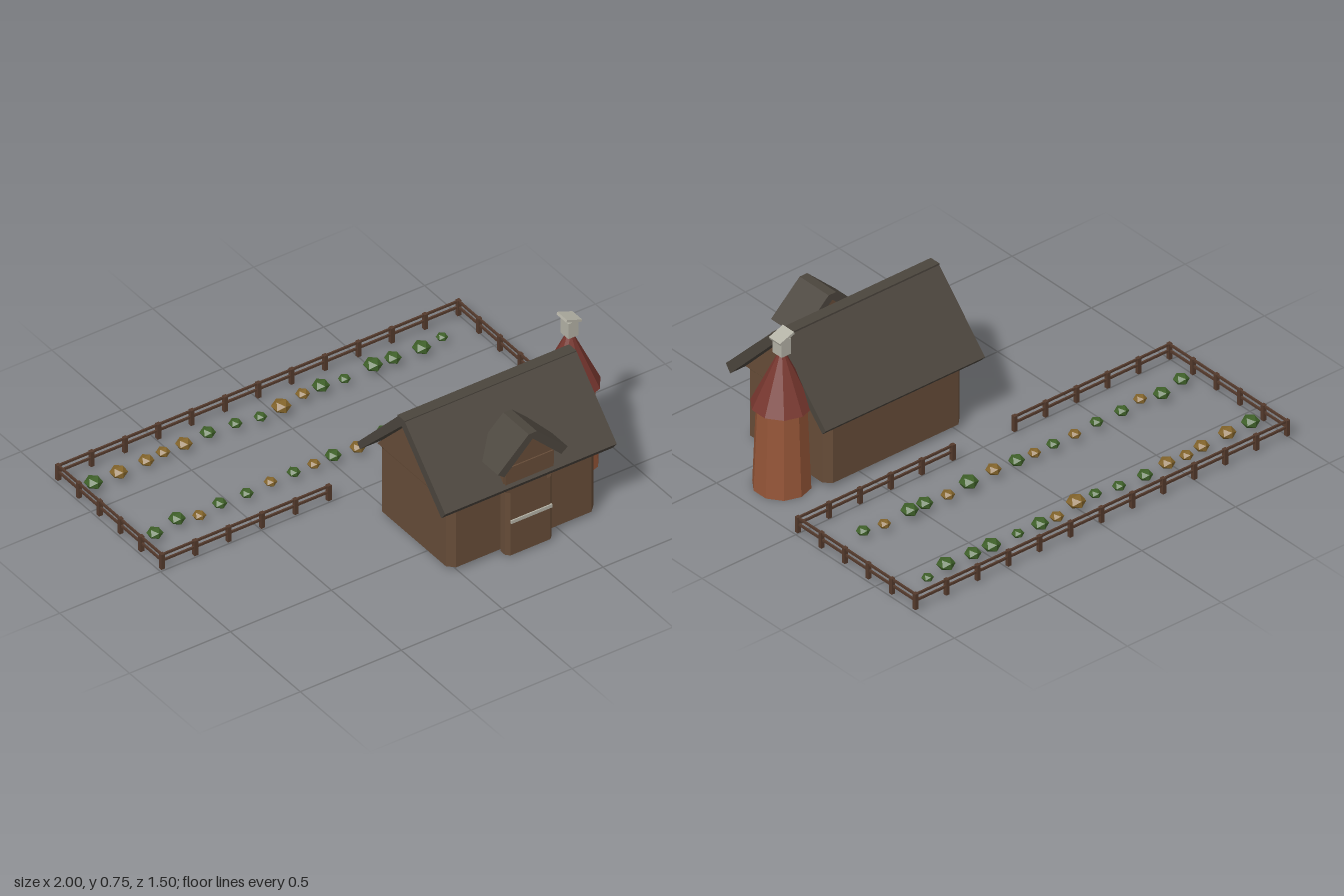
import * as THREE from 'three';

const mat = (name, color, side = THREE.FrontSide) => {
  const m = new THREE.MeshStandardMaterial({ color, side, flatShading: true });
  m.name = name;
  return m;
};

export function createModel() {
  const model = new THREE.Group();
  model.name = 'farmstead';

  const timber = mat('timber brown', 0x664c38, THREE.DoubleSide);
  const shingle = mat('dark shingle', 0x4b453d);
  const brick = mat('silo brick', 0x965638);
  const red = mat('cone red', 0x78372f);
  const stone = mat('pale stone', 0xb4b2a6);
  const fenceWood = mat('fence wood', 0x543a2c);
  const green = mat('leaf green', 0x3f6129);
  const ochre = mat('leaf ochre', 0x84652b);

  const add = (name, geo, material, parent = model) => {
    const m = new THREE.Mesh(geo, material);
    m.name = name;
    parent.add(m);
    return m;
  };
  // Box from its minimum and maximum corners
  const box = (name, a, b, material, parent) => {
    const m = add(name, new THREE.BoxGeometry(b[0] - a[0], b[1] - a[1], b[2] - a[2]), material, parent);
    m.position.set((a[0] + b[0]) / 2, (a[1] + b[1]) / 2, (a[2] + b[2]) / 2);
    return m;
  };
  const extrude = (pts, depth) => new THREE.ExtrudeGeometry(
    new THREE.Shape(pts.map(p => new THREE.Vector2(...p))), { depth, bevelEnabled: false });
  // Profile given as (z, y), swept from x0 to x1
  const alongX = (pts, x0, x1) => extrude(pts, x1 - x0).rotateY(-Math.PI / 2).translate(x1, 0, 0);
  // Profile given as (x, y), swept from z0 to z1
  const alongZ = (pts, z0, z1) => extrude(pts, z1 - z0).translate(0, 0, z0);
  // Upright wall around an (x, z) outline, open above and below
  const wall = (outline, y0, y1) => {
    const v = [];
    for (let i = 0; i < outline.length - 1; i++) {
      const [ax, az] = outline[i], [bx, bz] = outline[i + 1];
      v.push(ax, y0, az, bx, y0, bz, bx, y1, bz, ax, y0, az, bx, y1, bz, ax, y1, az);
    }
    const g = new THREE.BufferGeometry();
    g.setAttribute('position', new THREE.Float32BufferAttribute(v, 3));
    g.computeVertexNormals();
    return g;
  };

  // Barn walls with cut corners, gable, and projecting doorway
  const barn = new THREE.Group();
  barn.name = 'barn';
  model.add(barn);
  const [l, r, b, f, c] = [-0.04, 0.69, 0.168, 0.685, 0.03];
  add('barnWalls', wall([
    [l, f - c], [l + c, f], [r - c, f], [r, f - c], [r, b + c],
    [r - c, b], [l + c, b], [l, b + c], [l, f - c],
  ], 0.022, 0.345), timber, barn);
  add('gable', alongX([[0.155, 0.34], [0.69, 0.34], [0.4245, 0.617]], l + 0.006, r - 0.006), timber, barn);
  add('doorway', wall([
    [0.21, f], [0.21, 0.717], [0.226, 0.733], [0.424, 0.733], [0.44, 0.717], [0.44, f],
  ], 0.012, 0.327), timber, barn);
  box('doorBar', [0.226, 0.174, 0.73], [0.43, 0.19, 0.739], stone, barn);

  // Main roof with flat ridge
  add('roof', alongX([
    [0.709, 0.323], [0.737, 0.359], [0.45, 0.651], [0.398, 0.651],
    [0.107, 0.343], [0.127, 0.319], [0.4245, 0.617],
  ], -0.1, 0.75), shingle, barn);
  box('ridge', [-0.1, 0.64, 0.395], [0.75, 0.656, 0.448], shingle, barn);

  // Dormer
  const dormer = new THREE.Group();
  dormer.name = 'dormer';
  barn.add(dormer);
  add('dormerBody', alongZ([
    [0.2, 0.366], [0.45, 0.366], [0.45, 0.455], [0.325, 0.573], [0.2, 0.455],
  ], 0.567, 0.72), timber, dormer);
  box('dormerPanel', [0.205, 0.366, 0.715], [0.445, 0.45, 0.726], timber, dormer);
  add('dormerRoof', alongZ([
    [0.184, 0.436], [0.325, 0.573], [0.466, 0.436], [0.498, 0.46],
    [0.345, 0.602], [0.305, 0.602], [0.152, 0.46],
  ], 0.567, 0.75), shingle, dormer);

  // Ten-sided silo with cone roof and vent
  const silo = new THREE.Group();
  silo.name = 'silo';
  silo.position.set(0.803, 0, 0.321);
  model.add(silo);
  add('siloBody', new THREE.CylinderGeometry(0.108, 0.124, 0.4, 10).translate(0, 0.2, 0), brick, silo);
  add('siloRoof', new THREE.CylinderGeometry(0.012, 0.132, 0.255, 10).translate(0, 0.5235, 0), red, silo);
  box('ventPost', [-0.025, 0.642, -0.029], [0.025, 0.718, 0.029], stone, silo);
  const cap = add('ventCap', new THREE.BoxGeometry(0.08, 0.012, 0.07), stone, silo);
  cap.position.set(0, 0.727, 0);
  cap.rotation.z = -0.36;

  // Fence: runs of posts with two rails, leaving a gap at the front
  const fence = new THREE.Group();
  fence.name = 'fence';
  model.add(fence);
  const run = (x0, z0, x1, z1, bays) => {
    for (let i = 0; i <= bays; i++) {
      const x = x0 + (x1 - x0) * i / bays, z = z0 + (z1 - z0) * i / bays;
      box('fencePost', [x - 0.009, 0.012, z - 0.009], [x + 0.009, 0.087, z + 0.009], fenceWood, fence);
    }
    for (const y of [0.052, 0.081]) {
      box('fenceRail', [Math.min(x0, x1) - 0.004, y - 0.005, Math.min(z0, z1) - 0.004],
        [Math.max(x0, x1) + 0.004, y + 0.005, Math.max(z0, z1) + 0.004], fenceWood, fence);
    }
  };
  const [fx, fz] = [0.991, -0.745];
  run(-fx, fz, fx, fz, 12);
  for (const s of [-1, 1]) {
    run(s * fx, fz, s * fx, -0.003, 5);
    run(s * fx, -0.003, s * 0.165, -0.003, 5);
  }

  // Crop plants: x, z, half width
  const greens = [
    [-0.91, -0.61, 0.034], [-0.33, -0.63, 0.029], [-0.2, -0.62, 0.025], [-0.09, -0.6, 0.024],
    [0.23, -0.63, 0.032], [0.34, -0.62, 0.023], [0.485, -0.625, 0.035], [0.58, -0.62, 0.031],
    [0.715, -0.61, 0.034], [0.83, -0.63, 0.022], [-0.9, -0.185, 0.03], [-0.77, -0.215, 0.031],
    [-0.565, -0.205, 0.027], [-0.435, -0.2, 0.025], [-0.195, -0.21, 0.025], [0, -0.21, 0.03],
    [0.255, -0.21, 0.036], [0.49, -0.21, 0.031], [0.57, -0.21, 0.033], [0.81, -0.2, 0.026],
  ];
  const ochres = [
    [-0.785, -0.61, 0.033], [-0.645, -0.615, 0.029], [-0.555, -0.625, 0.026], [-0.455, -0.62, 0.031],
    [0.015, -0.603, 0.036], [0.14, -0.63, 0.026], [-0.68, -0.185, 0.025], [-0.31, -0.21, 0.024],
    [-0.095, -0.21, 0.024], [0.115, -0.2, 0.029], [0.375, -0.22, 0.026], [0.71, -0.215, 0.024],
  ];
  const crops = new THREE.Group();
  crops.name = 'crops';
  model.add(crops);
  const plant = new THREE.IcosahedronGeometry(1 / 0.85, 0);
  for (const [list, m, name] of [[greens, green, 'greenPlant'], [ochres, ochre, 'ochrePlant']]) {
    for (const [x, z, s] of list) {
      const p = add(name, plant, m, crops);
      p.position.set(x, 0.022 + s * 0.7, z);
      p.scale.set(s, s * 0.7, s);
    }
  }
  return model;
}
